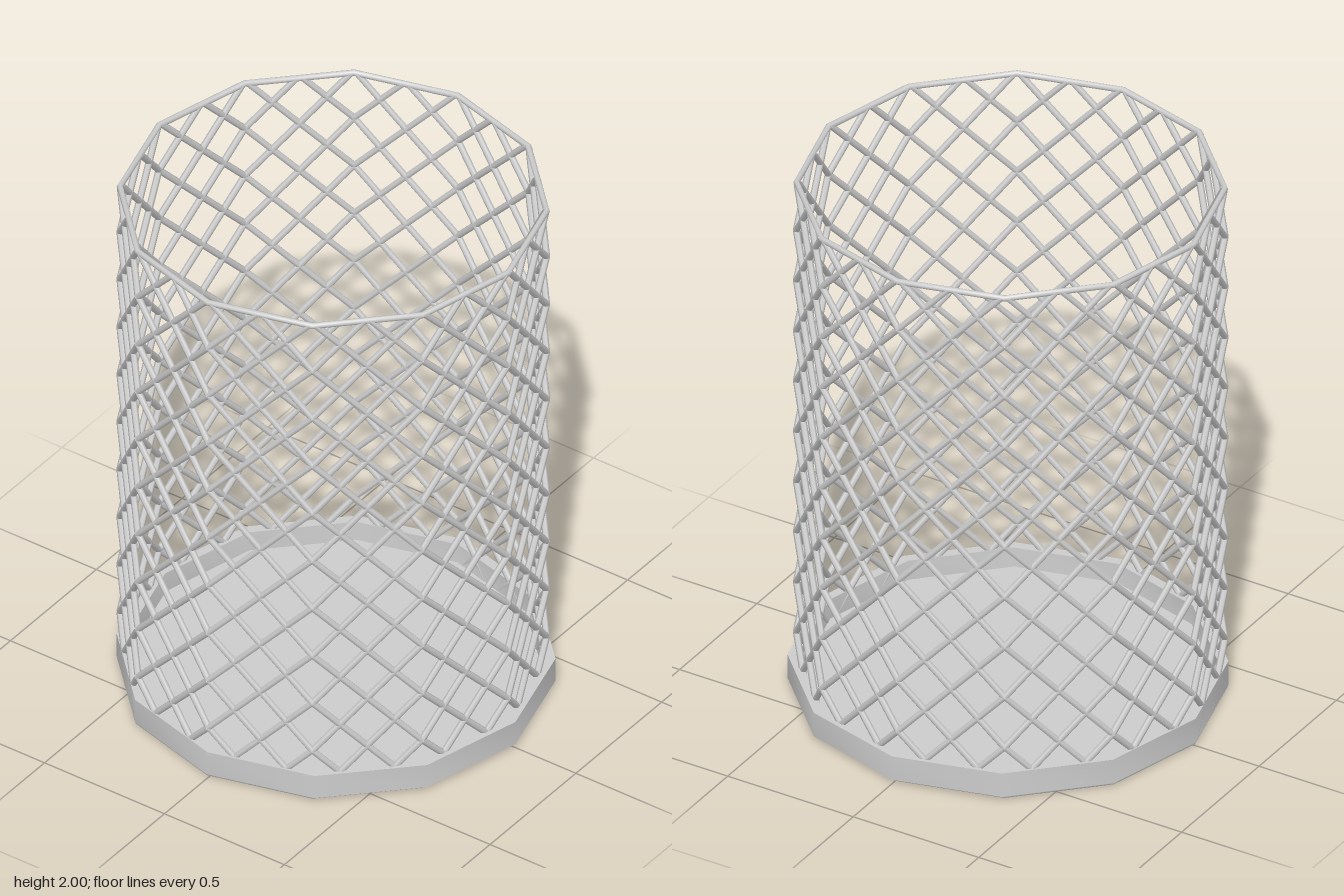
import * as THREE from 'three';
import { mergeGeometries, toCreasedNormals } from 'three/addons/utils/BufferGeometryUtils.js';

const SIDES = 12, RADIUS = 0.727, WIRE = 0.012;
const BOTTOM = 0.011, TOP = 1.989;
const RISE = 0.4; // height a wire gains across one facet

export function createModel() {
  const model = new THREE.Group();
  const material = new THREE.MeshStandardMaterial({ color: 0xcccccc });
  const add = (name, geometry, parent) => {
    const mesh = new THREE.Mesh(geometry, material);
    mesh.name = name;
    parent.add(mesh);
    return mesh;
  };

  // Shallow twelve-sided tray with a raised band
  const profile = [[0, 0.015], [0.748, 0.015], [0.748, 0.108], [0.712, 0.108], [0.708, 0.035], [0, 0.035]]
    .map(([x, y]) => new THREE.Vector2(x, y));
  add('baseTray', toCreasedNormals(new THREE.LatheGeometry(profile, SIDES), 0.7), model);

  // The wire cage sits slightly off the tray's centre
  const cage = new THREE.Group();
  cage.name = 'wireCage';
  cage.position.set(-0.008, 0, 0.005);
  model.add(cage);

  // Point on the faceted wall; u counts facets around
  const corner = (i) => {
    const a = (i * Math.PI * 2) / SIDES;
    return new THREE.Vector3(RADIUS * Math.cos(a), 0, RADIUS * Math.sin(a));
  };
  const wallPoint = (u, y) => {
    const i = Math.floor(u);
    return corner(i).lerp(corner(i + 1), u - i).setY(y);
  };

  // Straight wire between two points
  const up = new THREE.Vector3(0, 1, 0);
  const rod = (a, b) => {
    const dir = b.clone().sub(a);
    const g = new THREE.CylinderGeometry(WIRE, WIRE, dir.length(), 6);
    g.applyQuaternion(new THREE.Quaternion().setFromUnitVectors(up, dir.normalize()));
    return g.translate(...a.clone().add(b).multiplyScalar(0.5).toArray());
  };

  // Wires climb the wall both ways and bend at each corner
  for (const turn of [1, -1]) {
    const rods = [];
    for (let s = 0; s < SIDES * 2; s++) {
      const start = s / 2;
      const bends = [BOTTOM];
      for (let y = s % 2 ? RISE / 2 : RISE; y < TOP - 0.01; y += RISE) bends.push(y);
      bends.push(TOP);
      for (let k = 0; k < bends.length - 1; k++) {
        const [a, b] = [bends[k], bends[k + 1]].map((y) => wallPoint(start + (turn * y) / RISE, y));
        rods.push(rod(a, b));
      }
    }
    add(turn > 0 ? 'risingWires' : 'crossingWires', mergeGeometries(rods), cage);
  }

  // Rings that close the cage at both ends
  for (const [name, y] of [['topRim', TOP], ['bottomRing', BOTTOM]]) {
    const ring = new THREE.TorusGeometry(RADIUS, 0.011, 8, SIDES).rotateX(Math.PI / 2);
    add(name, ring, cage).position.y = y;
  }
  return model;
}
